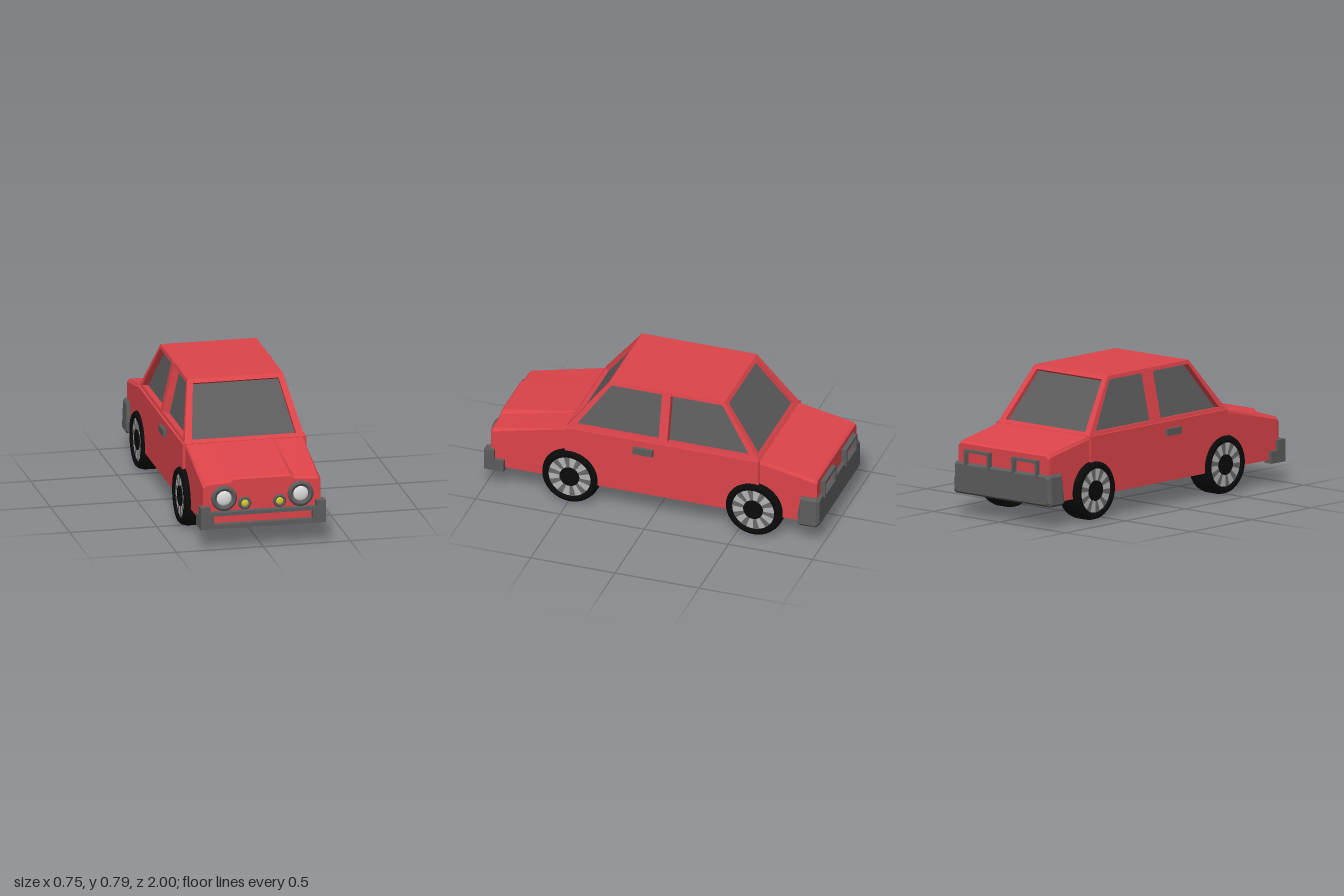
import * as THREE from 'three';
import { mergeGeometries } from 'three/addons/utils/BufferGeometryUtils.js';

const mat = (name, color) => {
  const m = new THREE.MeshStandardMaterial({ color });
  m.name = name;
  return m;
};

// Flat-faced geometry from triangles of [x, y, z]
function faces(tris) {
  const g = new THREE.BufferGeometry();
  g.setAttribute('position', new THREE.Float32BufferAttribute(tris.flat(), 3));
  g.computeVertexNormals();
  return g;
}
const quad = (a, b, c, d) => [a, b, c, a, c, d];

// Closed solid through mirrored half profiles, ordered from back to front
function loft(sections) {
  const loops = sections.map(([z, half]) => [
    ...half.map(([x, y]) => [x, y, z]),
    ...half.slice().reverse().map(([x, y]) => [-x, y, z]),
  ]);
  const n = loops[0].length, tris = [];
  const centre = (l) => [0, l.reduce((s, p) => s + p[1], 0) / n, l[0][2]];
  const first = loops[0], last = loops[loops.length - 1];
  for (let i = 0; i < n; i++) {
    const j = (i + 1) % n;
    for (let k = 0; k + 1 < loops.length; k++) {
      tris.push(...quad(loops[k][i], loops[k][j], loops[k + 1][j], loops[k + 1][i]));
    }
    tris.push(centre(first), first[j], first[i], centre(last), last[i], last[j]);
  }
  return faces(tris);
}

// Plate in the xy plane with a rectangular hole
function framePlate(outline, x0, x1, y0, y1, depth) {
  const shape = new THREE.Shape(outline.map(([x, y]) => new THREE.Vector2(x, y)));
  const hole = [[x0, y0], [x0, y1], [x1, y1], [x1, y0]];
  shape.holes.push(new THREE.Path(hole.map(([x, y]) => new THREE.Vector2(x, y))));
  return new THREE.ExtrudeGeometry(shape, { depth, bevelEnabled: false });
}

// Round part turned about the z axis
const turned = (pts, segments = 32) =>
  new THREE.LatheGeometry(pts.map(([r, h]) => new THREE.Vector2(r, h)), segments).rotateX(Math.PI / 2);

export function createModel() {
  const car = new THREE.Group();
  car.name = 'car';
  const red = mat('red paint', 0xdc444a);
  const grey = mat('dark grey trim and glass', 0x5c5c5c);
  const black = mat('black rubber', 0x0a0a0a);
  const silver = mat('silver rim', 0xb4b4b4);
  const shade = mat('rim gap grey', 0x686868);
  const white = mat('headlight white', 0xdedede);
  const yellow = mat('fog light yellow', 0xd8cc30);
  const add = (name, geo, material, parent = car) => {
    const m = new THREE.Mesh(geo, material);
    m.name = name;
    parent.add(m);
    return m;
  };
  const box = (name, x0, x1, y0, y1, z0, z1, material) =>
    add(name, new THREE.BoxGeometry(x1 - x0, y1 - y0, z1 - z0), material)
      .position.set((x0 + x1) / 2, (y0 + y1) / 2, (z0 + z1) / 2);

  // Lower body: middle, bonnet with raised centre, boot
  const side = [[0.357, 0.14], [0.357, 0.48]];
  add('middleBody', loft([[-0.63, side], [0.52, side]]), red);
  add('bonnet', loft([
    [0.5, [[0.34, 0.14], [0.34, 0.465], [0.335, 0.48], [0.167, 0.48], [0.165, 0.481]]],
    [0.955, [[0.34, 0.14], [0.34, 0.36], [0.325, 0.377], [0.188, 0.385], [0.16, 0.403]]],
    [0.965, [[0.337, 0.14], [0.337, 0.35], [0.322, 0.368], [0.188, 0.375], [0.16, 0.393]]],
  ]), red);
  add('boot', loft([
    [-0.97, [[0.337, 0.14], [0.337, 0.39], [0.325, 0.408]]],
    [-0.955, [[0.342, 0.14], [0.342, 0.4], [0.33, 0.418]]],
    [-0.61, [[0.342, 0.14], [0.342, 0.465], [0.335, 0.482]]],
  ]), red);

  // Cabin: four window frames with recessed glass, and the roof
  const base = [[-0.345, 0.48, 0.52], [0.345, 0.48, 0.52], [0.345, 0.48, -0.63], [-0.345, 0.48, -0.63]];
  const top = [[-0.275, 0.785, 0.28], [0.275, 0.785, 0.28], [0.275, 0.785, -0.4], [-0.275, 0.785, -0.4]];
  const mix = (a, b, t) => a.map((v, i) => v + (b[i] - v) * t);
  const recess = [[0, -0.012, -0.02], [-0.035, -0.005, 0], [0, -0.012, 0.02], [0.035, -0.005, 0]];
  const names = ['windscreen', 'leftWindows', 'rearWindow', 'rightWindows'];
  for (let i = 0; i < 4; i++) {
    const j = (i + 1) % 4, m = i % 2 ? 0.038 : 0.06;
    const outer = [base[i], base[j], top[j], top[i]];
    const at = (u, v) => mix(mix(base[i], base[j], u), mix(top[i], top[j], u), v);
    const hole = [at(m, 0.06), at(1 - m, 0.06), at(1 - m, 0.93), at(m, 0.93)];
    const glass = hole.map((p) => p.map((v, k) => v + recess[i][k]));
    const tris = [];
    for (let k = 0; k < 4; k++) {
      const l = (k + 1) % 4;
      tris.push(...quad(outer[k], outer[l], hole[l], hole[k]));
      tris.push(...quad(hole[k], hole[l], glass[l], glass[k]));
    }
    add(names[i] + 'Frame', faces(tris), red);
    add(names[i] + 'Glass', faces(quad(...glass)), grey);
  }
  add('roof', faces(quad(...top)), red);

  for (const s of [-1, 1]) {
    // Door pillar leaning with the side windows
    const pillar = new THREE.BoxGeometry(0.045, 0.29, 0.052);
    const p = pillar.attributes.position;
    for (let i = 0; i < p.count; i++) p.setX(i, p.getX(i) - s * p.getY(i) * 0.23);
    pillar.computeVertexNormals();
    add('doorPillar', pillar, red).position.set(s * 0.293, 0.635, -0.058);

    const hx = [s * 0.35, s * 0.376].sort((a, b) => a - b);
    box('doorHandle', hx[0], hx[1], 0.4, 0.44, -0.005, 0.112, grey);

    // Front bumper corner and its arm along the side
    const bx = [s * 0.305, s * 0.36].sort((a, b) => a - b);
    box('bumperCorner', bx[0], bx[1], 0.12, 0.248, 0.94, 0.999, grey);
    box('bumperArm', bx[0], bx[1], 0.12, 0.19, 0.882, 0.94, grey);

    // Headlight and fog light
    add('headlightRing', turned([[0.073, 0], [0.073, 0.016], [0.062, 0.024], [0.054, 0.024],
      [0.05, 0.014], [0.04, 0.014]]), grey).position.set(s * 0.22, 0.29, 0.962);
    const lens = add('headlightLens', new THREE.SphereGeometry(0.044, 24, 12), white);
    lens.scale.z = 0.3;
    lens.position.set(s * 0.22, 0.29, 0.974);
    add('fogLightRing', turned([[0.037, 0], [0.037, 0.012], [0.031, 0.018], [0.025, 0.018],
      [0.02, 0.01]], 24), grey).position.set(s * 0.1, 0.255, 0.962);
    const fog = add('fogLightLens', new THREE.SphereGeometry(0.022, 20, 10), yellow);
    fog.scale.z = 0.3;
    fog.position.set(s * 0.1, 0.255, 0.972);

    // Tail light frame
    add('tailLightFrame', framePlate([[-0.095, 0.275], [0.095, 0.275], [0.095, 0.38], [-0.095, 0.38]],
      -0.08, 0.08, 0.29, 0.365, 0.033), grey).position.set(s * 0.18, 0, -0.998);
  }

  // Bumpers
  const bumper = [[-0.36, 0.12], [0.36, 0.12], [0.36, 0.248], [0.305, 0.248],
    [0.305, 0.215], [-0.305, 0.215], [-0.305, 0.248], [-0.36, 0.248]];
  add('frontBumper', framePlate(bumper, -0.285, 0.285, 0.145, 0.195, 0.045), grey).position.z = 0.955;
  add('rearBumper', loft([
    [-0.988, [[0.335, 0.135], [0.35, 0.15], [0.345, 0.28], [0.33, 0.292]]],
    [-0.97, [[0.355, 0.122], [0.368, 0.135], [0.362, 0.29], [0.35, 0.303]]],
    [-0.88, [[0.36, 0.122], [0.37, 0.135], [0.362, 0.29], [0.35, 0.303]]],
    [-0.862, [[0.355, 0.13], [0.365, 0.14], [0.355, 0.2], [0.345, 0.21]]],
  ]), grey);

  // Wheels, built with the outer face up and then tipped sideways
  const tyre = new THREE.LatheGeometry([[0.12, -0.06], [0.125, -0.074], [0.15, -0.077], [0.163, -0.062],
    [0.17, -0.035], [0.17, 0.035], [0.163, 0.062], [0.15, 0.077], [0.128, 0.074], [0.122, 0.05]]
    .map(([r, h]) => new THREE.Vector2(r, h)), 40);
  const rim = new THREE.CylinderGeometry(0.126, 0.126, 0.125, 40);
  const gaps = mergeGeometries(Array.from({ length: 10 }, (_, i) =>
    new THREE.RingGeometry(0.055, 0.125, 3, 1, i * Math.PI / 5, Math.PI / 11).rotateX(-Math.PI / 2)));
  const hub = new THREE.CylinderGeometry(0.058, 0.058, 0.02, 24);
  for (const s of [-1, 1]) {
    for (const z of [0.49, -0.6]) {
      const wheel = new THREE.Group();
      wheel.name = (z > 0 ? 'front' : 'rear') + (s > 0 ? 'Left' : 'Right') + 'Wheel';
      add('tyre', tyre, black, wheel);
      add('rim', rim, silver, wheel);
      add('rimGaps', gaps, shade, wheel).position.y = 0.064;
      add('hub', hub, black, wheel).position.y = 0.06;
      wheel.rotation.z = -s * Math.PI / 2;
      wheel.position.set(s * 0.299, 0.17, z);
      car.add(wheel);
    }
  }
  return car;
}
